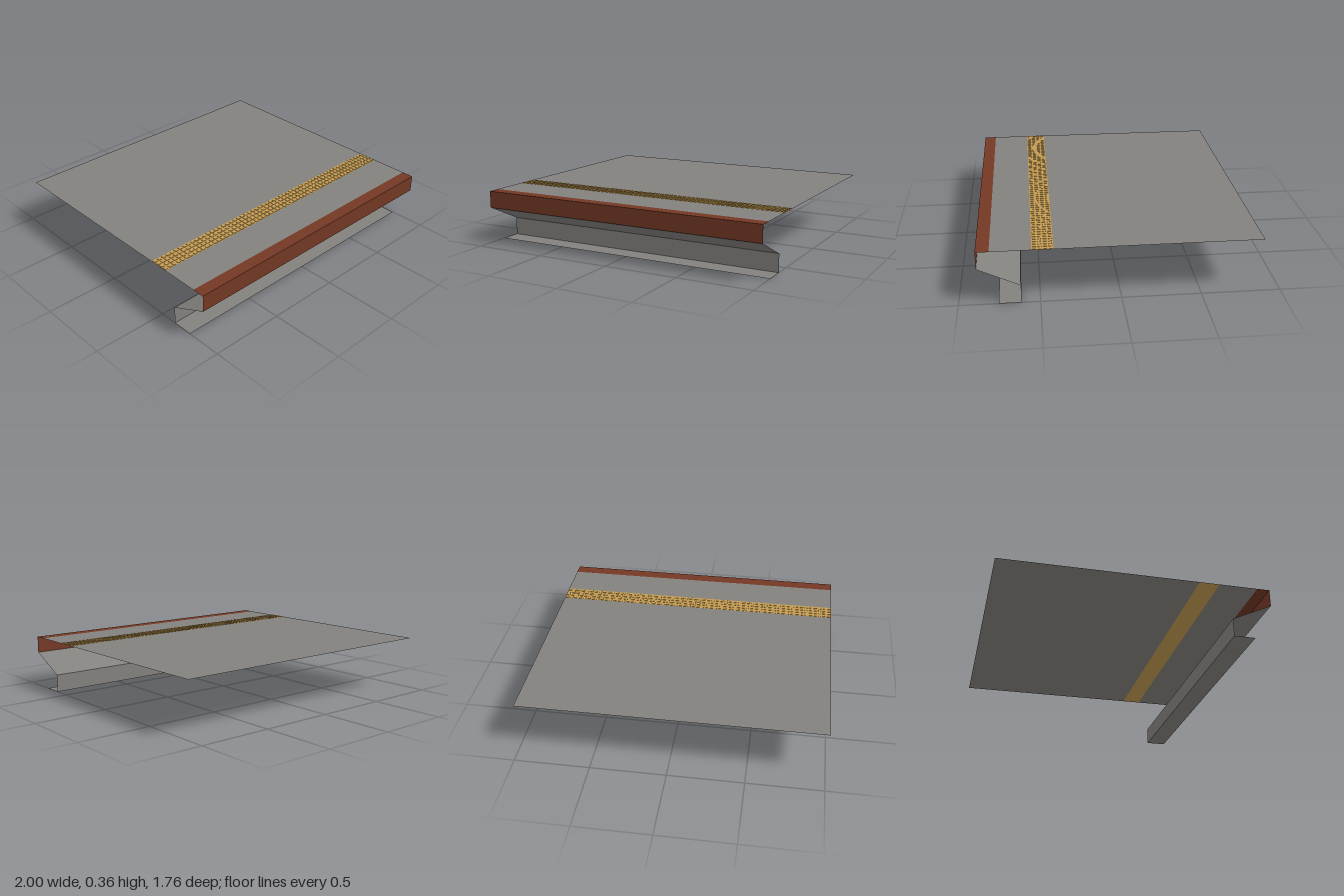
import * as THREE from 'three';
import { mergeGeometries } from 'three/addons/utils/BufferGeometryUtils.js';

const mat = (name, color) =>
  new THREE.MeshStandardMaterial({ name, color, side: THREE.DoubleSide });

export function createModel() {
  const model = new THREE.Group();
  model.name = 'platform';
  const concrete = mat('concrete grey', 0x83817d);
  const brick = mat('brick red', 0x733824);
  const gold = mat('tactile gold', 0xc49c52);

  const LENGTH = 2, DECK = 0.357;

  // Flat sheet running along x between two [z, y] profile points
  function sheet(name, material, [z0, y0], [z1, y1]) {
    const dz = z1 - z0, dy = y1 - y0;
    const geo = new THREE.PlaneGeometry(LENGTH, Math.hypot(dz, dy));
    geo.rotateX(Math.atan2(-dz, -dy) * -1 + 0);
    geo.rotateX(0);
    // Place the four corners exactly on the profile
    const p = geo.attributes.position;
    for (let i = 0; i < 4; i++) {
      p.setY(i, i < 2 ? y0 : y1);
      p.setZ(i, i < 2 ? z0 : z1);
    }
    geo.computeVertexNormals();
    const mesh = new THREE.Mesh(geo, material);
    mesh.name = name;
    model.add(mesh);
  }

  // Deck, from back to front
  sheet('rearDeck', concrete, [-0.88, DECK], [0.412, DECK]);
  sheet('tactileStrip', gold, [0.412, DECK], [0.545, DECK]);
  sheet('frontDeck', concrete, [0.545, DECK], [0.798, DECK]);
  sheet('copingTop', brick, [0.798, DECK], [0.88, DECK]);

  // Overhanging edge, retaining wall and foot
  sheet('copingFace', brick, [0.88, DECK], [0.88, 0.243]);
  sheet('overhangSlope', concrete, [0.88, 0.243], [0.618, 0.12]);
  sheet('retainingWall', concrete, [0.618, 0.12], [0.618, 0]);
  sheet('foot', concrete, [0.618, 0], [0.756, 0]);

  // Raised studs on the tactile strip
  const COLS = 60, ROWS = 4, PITCH = LENGTH / COLS;
  const studs = [];
  for (let c = 0; c < COLS; c++) {
    for (let r = 0; r < ROWS; r++) {
      const stud = new THREE.BoxGeometry(0.022, 0.003, 0.022);
      stud.translate(-1 + (c + 0.5) * PITCH, DECK + 0.0015, 0.4785 + (r - 1.5) * PITCH);
      studs.push(stud);
    }
  }
  const studMesh = new THREE.Mesh(mergeGeometries(studs), gold);
  studMesh.name = 'tactileStuds';
  model.add(studMesh);

  return model;
}
